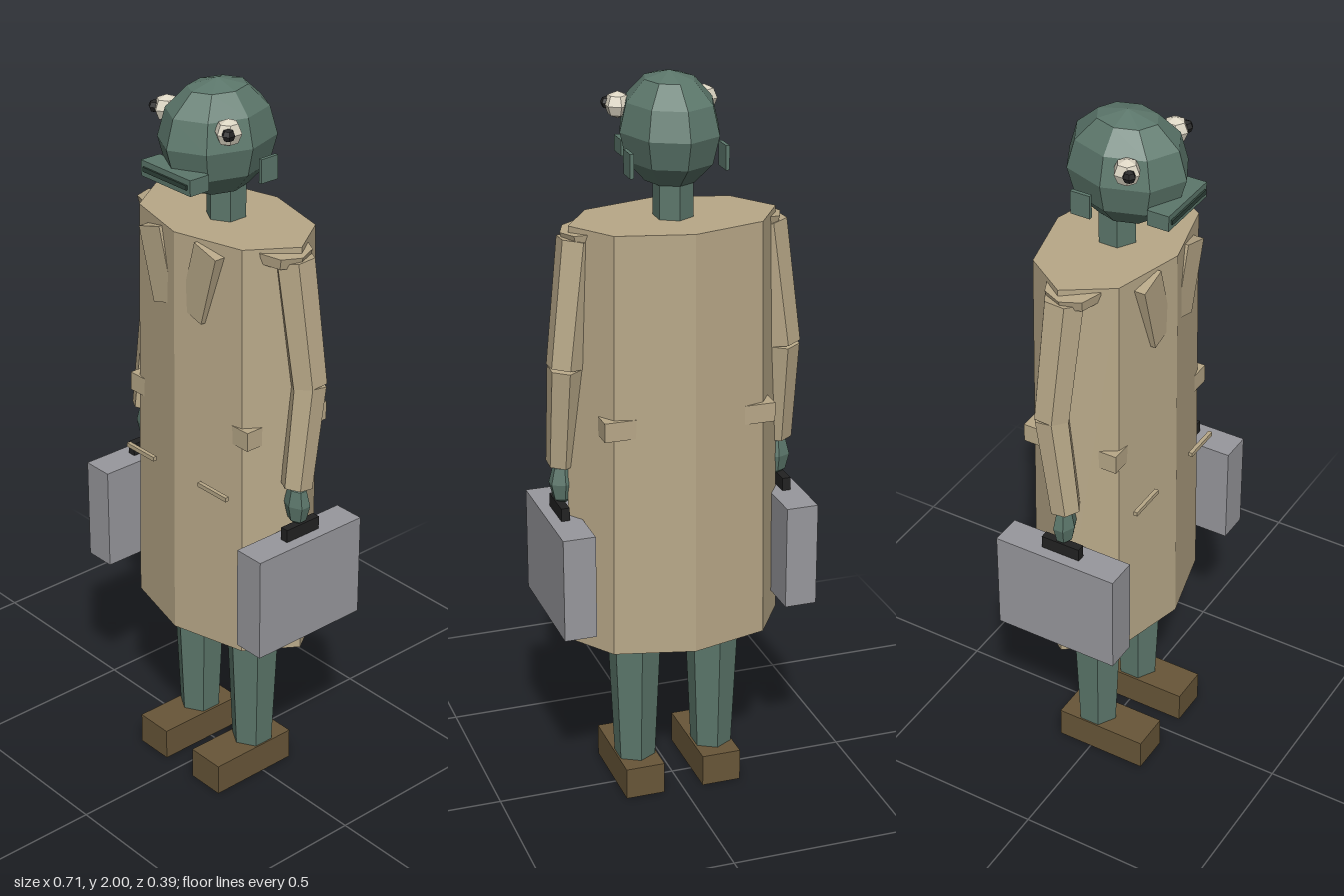
import * as THREE from 'three';

const mat = (name, color) => {
  const m = new THREE.MeshStandardMaterial({ color, flatShading: true });
  m.name = name;
  return m;
};

export function createModel() {
  const group = new THREE.Group();
  const skin = mat('green skin', 0x5c776b);
  const cloth = mat('tan coat', 0xb8a888);
  const leather = mat('brown leather', 0x685638);
  const metal = mat('grey case', 0x98989d);
  const black = mat('black', 0x222222);
  const white = mat('eye white', 0xddd6c4);
  const lip = mat('dark green', 0x2f4239);

  const add = (name, geo, material, x, y, z) => {
    const m = new THREE.Mesh(geo, material);
    m.name = name;
    m.position.set(x, y, z);
    group.add(m);
    return m;
  };
  const box = (name, material, w, h, d, x, y, z) =>
    add(name, new THREE.BoxGeometry(w, h, d), material, x, y, z);
  const ball = (name, material, r, x, y, z, ws = 6, hs = 4) =>
    add(name, new THREE.SphereGeometry(1, ws, hs).rotateY(Math.PI / 2).scale(...r), material, x, y, z);
  // six-sided tapered limb between two points
  const limb = (name, material, a, b, ra, rb) => {
    const p = new THREE.Vector3(...a), q = new THREE.Vector3(...b);
    const dir = p.clone().sub(q);
    const c = p.clone().add(q).multiplyScalar(0.5);
    const m = add(name, new THREE.CylinderGeometry(ra, rb, dir.length(), 6), material, c.x, c.y, c.z);
    m.quaternion.setFromUnitVectors(new THREE.Vector3(0, 1, 0), dir.normalize());
    return m;
  };

  // coat body with belt corners breaking through its edges
  const coat = add('coat', new THREE.CylinderGeometry(0.28, 0.3, 1.155, 8), cloth, 0, 1.0525, -0.009);
  coat.scale.z = 0.62;
  box('belt', cloth, 0.466, 0.052, 0.275, 0, 1.115, -0.0125);

  // head, neck and mouth
  ball('head', skin, [0.132, 0.15, 0.165], 0, 1.85, 0.021, 8, 6);
  limb('neck', skin, [0, 1.74, -0.008], [0, 1.6, -0.008], 0.053, 0.053);
  box('snout', skin, 0.187, 0.042, 0.06, 0, 1.779, 0.16);
  box('mouth', lip, 0.166, 0.012, 0.006, 0, 1.779, 0.192);

  for (const s of [1, -1]) {
    // face
    ball('eye', white, [0.035, 0.035, 0.036], s * 0.116, 1.905, 0.087);
    ball('pupil', black, [0.017, 0.017, 0.018], s * 0.138, 1.908, 0.106);
    box('ear', skin, 0.01, 0.064, 0.055, s * 0.127, 1.783, -0.035);

    // coat details
    const lapel = box('lapel', cloth, 0.083, 0.2, 0.03, s * 0.08, 1.513, 0.142);
    lapel.rotation.z = -s * 0.28;
    box('pocket', cloth, 0.11, 0.012, 0.011, s * 0.145, 0.95, 0.164);
    const pad = add('shoulder', new THREE.CylinderGeometry(0.075, 0.07, 0.03, 8), cloth, s * 0.222, 1.605, 0.004);
    pad.rotation.z = -s * 0.12;

    // arm and hand
    const elbow = [s * 0.298, 1.26, -0.022];
    limb('upperArm', cloth, [s * 0.255, 1.595, -0.006], elbow, 0.055, 0.05);
    limb('lowerArm', cloth, elbow, [s * 0.302, 0.98, 0.016], 0.048, 0.042);
    ball('hand', skin, [0.04, 0.062, 0.029], s * 0.3, 0.925, 0.012);

    // suitcase
    box('suitcase', metal, 0.088, 0.288, 0.354, s * 0.31, 0.694, 0.01);
    box('handle', black, 0.023, 0.036, 0.112, s * 0.311, 0.856, 0.01);

    // leg and shoe
    limb('leg', skin, [s * 0.112, 0.52, -0.006], [s * 0.112, 0.08, -0.006], 0.077, 0.057);
    box('shoe', leather, 0.11, 0.09, 0.265, s * 0.111, 0.045, 0.033);
  }
  return group;
}
